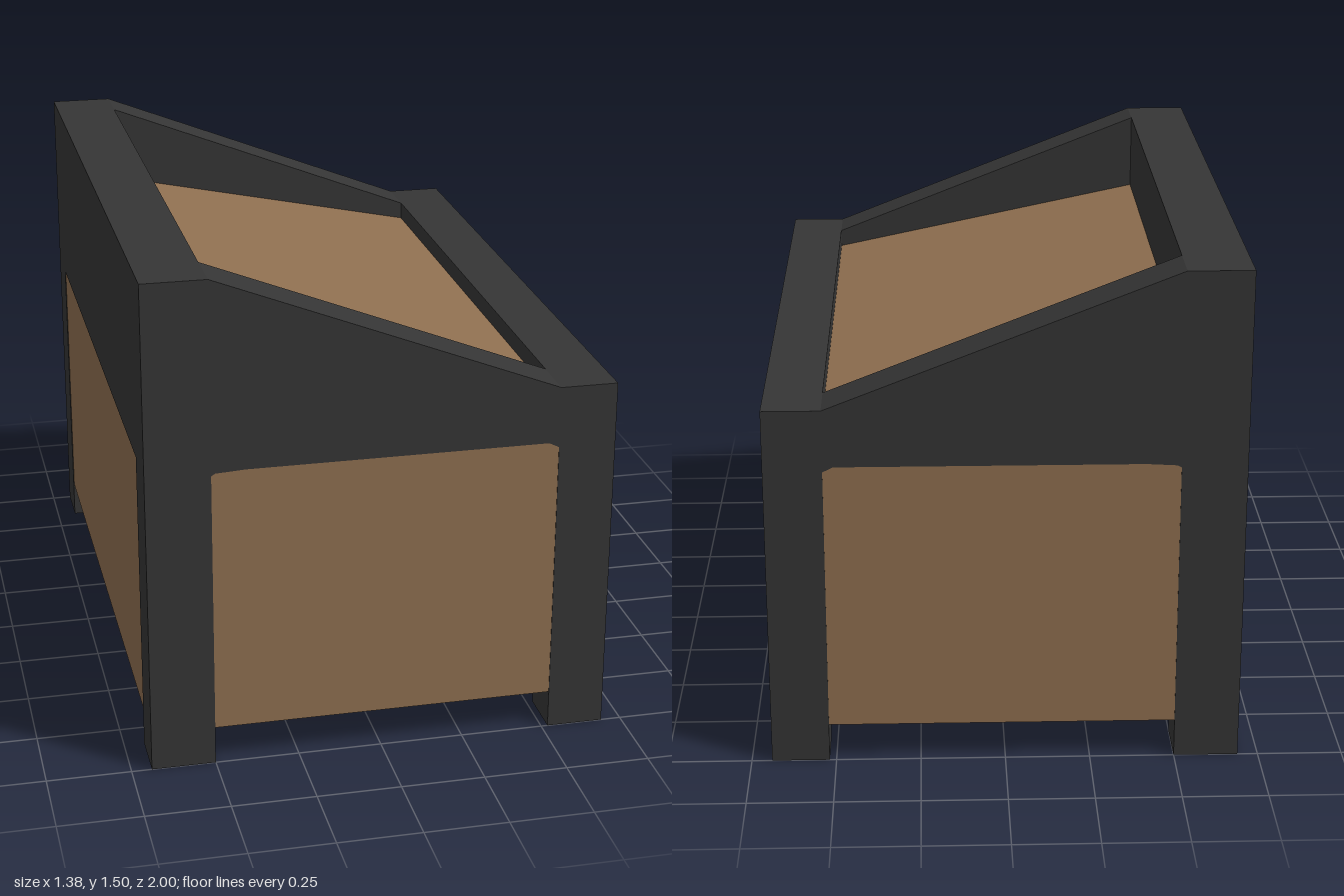
import * as THREE from 'three';

export function createModel() {
  const model = new THREE.Group();
  model.name = 'planterBox';
  const frameMat = new THREE.MeshStandardMaterial({ color: 0x353535 });
  frameMat.name = 'charcoal frame';
  const woodMat = new THREE.MeshStandardMaterial({ color: 0x8f6f50 });
  woodMat.name = 'brown panel';

  const add = (name, geometry, material) => {
    const mesh = new THREE.Mesh(geometry, material);
    mesh.name = name;
    model.add(mesh);
  };
  // Box given by its minimum and maximum corners
  const box = (name, a, b, material) => {
    const g = new THREE.BoxGeometry(b[0] - a[0], b[1] - a[1], b[2] - a[2]);
    g.translate((a[0] + b[0]) / 2, (a[1] + b[1]) / 2, (a[2] + b[2]) / 2);
    add(name, g, material);
  };
  // x/y outline extruded from z0 to z1
  const slab = (name, points, z0, z1, material) => {
    const shape = new THREE.Shape(points.map(([x, y]) => new THREE.Vector2(x, y)));
    const g = new THREE.ExtrudeGeometry(shape, { depth: z1 - z0, bevelEnabled: false });
    g.translate(0, 0, z0);
    add(name, g, material);
  };

  // Outer and inner limits of the frame
  const X = 0.69, XL = -0.5, XR = 0.52, Z = 1, ZI = 0.847, LIP = 0.93;

  // End frames: two legs joined by a sloping gable
  const end = [
    [-X, 0], [XL, 0], [XL, LIP - 0.012], [XL + 0.012, LIP - 0.005], [XL + 0.1, LIP],
    [XR - 0.03, LIP], [XR, LIP - 0.015], [XR, 0], [X, 0], [X, 1.1], [XR, 1.1], [XL, 1.5], [-X, 1.5],
  ];
  slab('frontFrame', end, ZI, Z, frameMat);
  slab('backFrame', end, -Z, -ZI, frameMat);

  // Long rails along the tall and the low side
  box('tallRail', [-X, LIP, -ZI], [XL, 1.5, ZI], frameMat);
  box('lowRail', [XR, LIP, -ZI], [X, 1.1, ZI], frameMat);

  // Panelled body, practically flush with the frame
  const e = 0.002;
  box('bodyPanels', [-X + e, 0.115, -Z + e], [X - e, LIP + 0.005, Z - e], woodMat);

  // Sloping top panel sunk between the rails
  slab('topPanel', [[XL, LIP], [XR, LIP], [XR, 1.045], [XL, 1.26]], -ZI, ZI, woodMat);

  return model;
}
